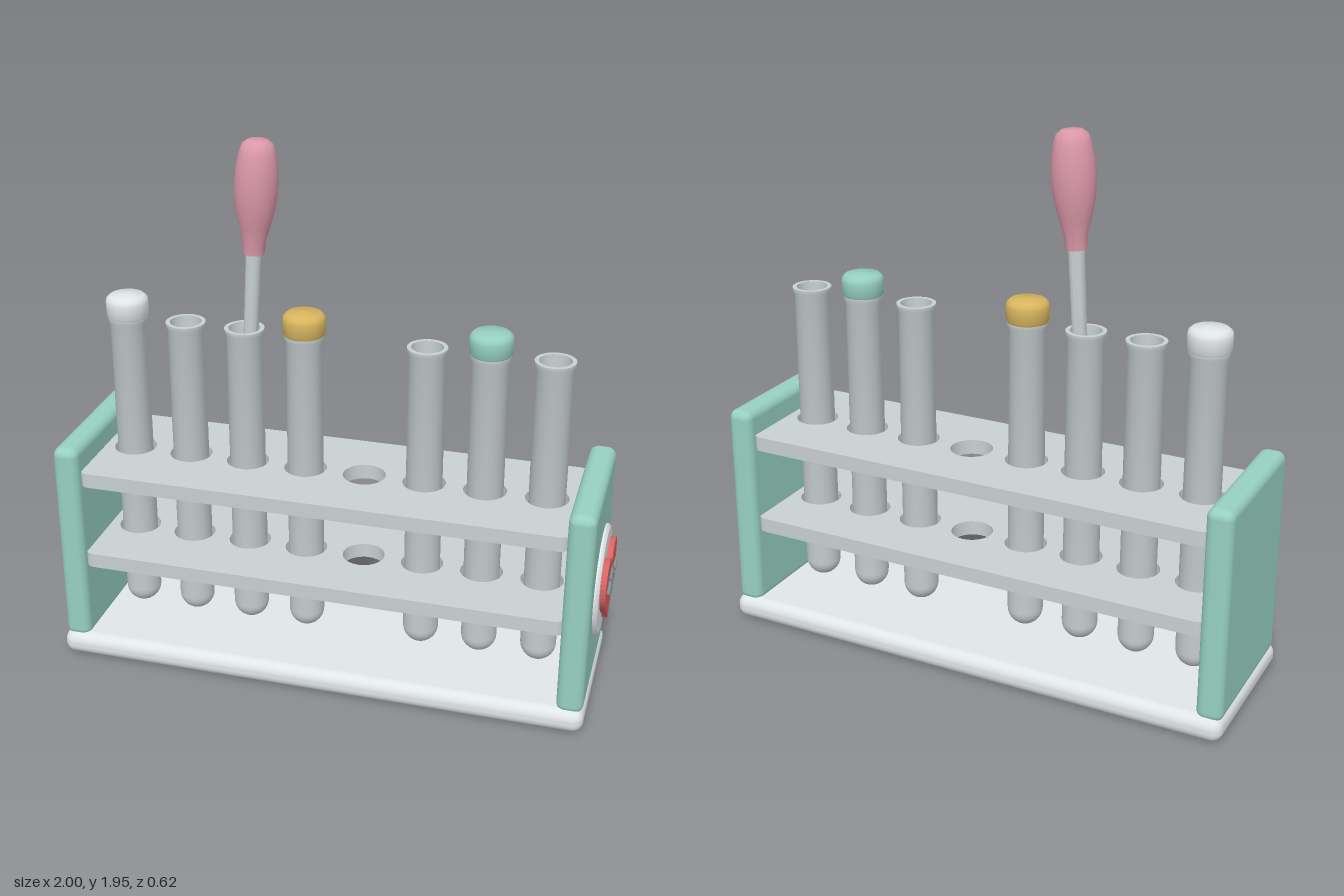
import * as THREE from 'three';
import { RoundedBoxGeometry } from 'three/addons/geometries/RoundedBoxGeometry.js';
import { toCreasedNormals } from 'three/addons/utils/BufferGeometryUtils.js';

function material(name, color, side = THREE.FrontSide) {
  const m = new THREE.MeshStandardMaterial({ color, side });
  m.name = name;
  return m;
}

export function createModel() {
  const group = new THREE.Group();
  group.name = 'testTubeRack';

  const white = material('white', 0xe0e5e7);
  const glass = material('pale grey', 0xc8d0d2, THREE.DoubleSide);
  const mint = material('mint', 0x96d0bf);
  const pink = material('pink', 0xdb98a8);
  const yellow = material('yellow', 0xd8b55f);
  const red = material('red', 0xd96464);
  const slate = material('slate', 0x869696);

  function add(parent, name, geometry, mat, x = 0, y = 0, z = 0) {
    const mesh = new THREE.Mesh(geometry, mat);
    mesh.name = name;
    mesh.position.set(x, y, z);
    parent.add(mesh);
    return mesh;
  }
  const lathe = (points, crease = 0.6) => toCreasedNormals(
    new THREE.LatheGeometry(points.map(([r, y]) => new THREE.Vector2(r, y)), 32), crease);

  // Rounded base and end panels
  const midX = -0.022;
  add(group, 'base', new RoundedBoxGeometry(1.955, 0.09, 0.62, 5, 0.04), white, midX, 0.045);
  for (const [name, side] of [['leftPanel', 1], ['rightPanel', -1]]) {
    add(group, name, new RoundedBoxGeometry(0.095, 0.78, 0.58, 4, 0.032), mint, midX + side * 0.925, 0.46);
  }

  // Perforated shelves
  const slots = Array.from({ length: 8 }, (_, i) => -0.79 + i * 0.2195);
  const w = 0.885, d = 0.265, c = 0.04;
  const board = new THREE.Shape();
  board.moveTo(-w + c, -d).lineTo(w - c, -d).quadraticCurveTo(w, -d, w, -d + c)
    .lineTo(w, d - c).quadraticCurveTo(w, d, w - c, d)
    .lineTo(-w + c, d).quadraticCurveTo(-w, d, -w, d - c)
    .lineTo(-w, -d + c).quadraticCurveTo(-w, -d, -w + c, -d);
  for (const x of slots) {
    board.holes.push(new THREE.Path().absarc(x - midX, 0, 0.077, 0, Math.PI * 2, true));
  }
  const shelf = toCreasedNormals(new THREE.ExtrudeGeometry(board,
    { depth: 0.055, bevelEnabled: false, curveSegments: 20 }).rotateX(-Math.PI / 2), 0.6);
  add(group, 'lowerShelf', shelf, glass, midX, 0.37);
  add(group, 'upperShelf', shelf, glass, midX, 0.7);

  // Profiles of a tube, its stopper and its contents
  function roundEnd(r, y) {
    return Array.from({ length: 9 }, (_, i) => {
      const a = i / 8 * Math.PI / 2;
      return [r * Math.sin(a), y + r - r * Math.cos(a)];
    });
  }
  const tube = lathe([...roundEnd(0.065, 0.1), [0.065, 1.25], [0.071, 1.262], [0.071, 1.275],
    [0.056, 1.275], ...roundEnd(0.056, 0.11).reverse()]);
  const stopper = lathe([[0, 1.272], [0.069, 1.272], [0.075, 1.282], [0.076, 1.33],
    [0.073, 1.343], [0.062, 1.353], [0, 1.357]], 0.9);
  const liquid = lathe([...roundEnd(0.054, 0.112), [0.054, 0.75], [0, 0.75]]);

  // One entry per slot; the fifth stays empty
  const fills = [
    { stopper: white }, { liquid: pink }, { liquid: yellow }, { stopper: yellow },
    null, { liquid: mint }, { stopper: mint }, { liquid: yellow },
  ];
  fills.forEach((fill, i) => {
    if (!fill) return;
    const holder = new THREE.Group();
    holder.name = 'testTube' + (i + 1);
    holder.position.x = slots[i];
    add(holder, 'glassTube', tube, glass);
    if (fill.stopper) add(holder, 'stopper', stopper, fill.stopper);
    if (fill.liquid) add(holder, 'liquid', liquid, fill.liquid);
    group.add(holder);
  });

  // Leaning dropper with a squeeze bulb
  const dropper = new THREE.Group();
  dropper.name = 'dropper';
  dropper.position.set(-0.309, 1.555, 0);
  dropper.rotation.z = -0.06;
  add(dropper, 'stem', lathe([[0, -0.7], [0.012, -0.7], [0.025, -0.45], [0.028, 0.02], [0, 0.02]]), glass);
  add(dropper, 'bulb', lathe([[0, 0], [0.037, 0], [0.041, 0.05], [0.055, 0.105], [0.07, 0.17],
    [0.075, 0.235], [0.073, 0.3], [0.063, 0.355], [0.053, 0.385], [0.035, 0.398], [0, 0.4]], 0.8), pink);
  group.add(dropper);

  // Round badge with a heart and pulse line on the left end
  const badge = new THREE.Group();
  badge.name = 'badge';
  badge.position.set(0.94, 0.46, 0);
  badge.rotation.y = Math.PI / 2;
  add(badge, 'disc', lathe([[0, 0], [0.2, 0], [0.2, 0.018], [0.19, 0.027], [0, 0.027]], 0.4)
    .rotateX(Math.PI / 2), white);
  const heart = new THREE.Shape();
  heart.moveTo(0, -0.155)
    .bezierCurveTo(-0.03, -0.1, -0.158, -0.06, -0.158, 0.035)
    .bezierCurveTo(-0.158, 0.14, -0.035, 0.15, 0, 0.07)
    .bezierCurveTo(0.035, 0.15, 0.158, 0.14, 0.158, 0.035)
    .bezierCurveTo(0.158, -0.06, 0.03, -0.1, 0, -0.155);
  add(badge, 'heart', new THREE.ExtrudeGeometry(heart,
    { depth: 0.025, bevelEnabled: false, curveSegments: 16 }), red, 0, 0, 0.022);
  const pulse = [[-0.13, 0.015], [-0.075, 0.015], [-0.06, 0.035], [-0.048, 0.005], [-0.04, 0.055],
    [-0.03, -0.035], [-0.015, 0.065], [-0.005, 0.005], [0.01, 0.025], [0.025, 0], [0.037, 0.03],
    [0.05, 0.015], [0.135, 0.015]].map(([x, y]) => new THREE.Vector3(x, y, 0.051));
  add(badge, 'pulseLine', new THREE.TubeGeometry(
    new THREE.CatmullRomCurve3(pulse, false, 'catmullrom', 0.2), 90, 0.007, 8), slate);
  group.add(badge);

  return group;
}
